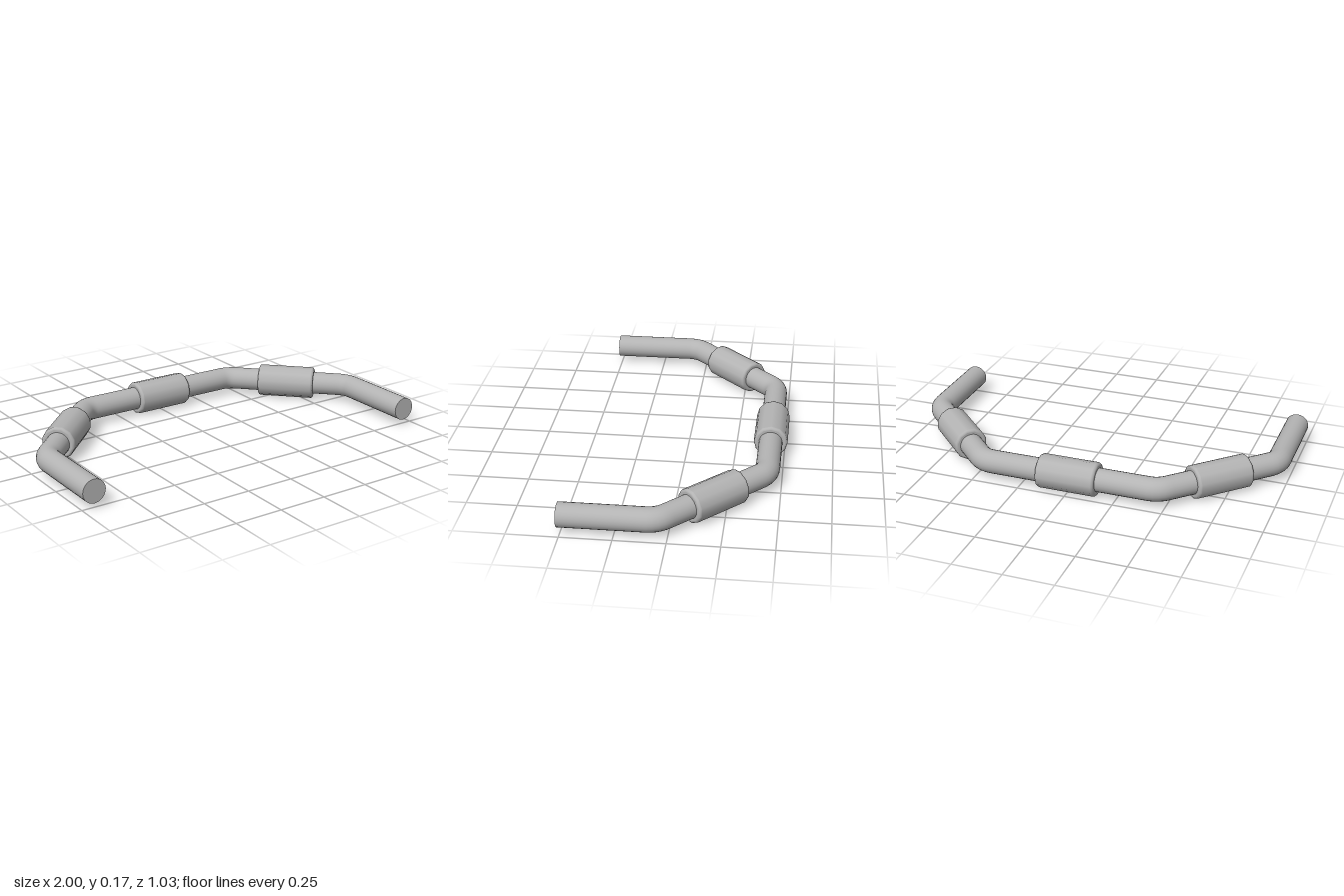
import * as THREE from 'three';

const Y = 0.086;        // height of the bar's centreline
const BAR_R = 0.06;
const SLEEVE_R = 0.086;
const SLEEVE_HALF = 0.153;

export function createModel() {
  const group = new THREE.Group();
  const gray = new THREE.MeshStandardMaterial({ color: 0xb4b4b4 });
  gray.name = 'plain gray';

  const add = (name, geometry) => {
    const mesh = new THREE.Mesh(geometry, gray);
    mesh.name = name;
    group.add(mesh);
    return mesh;
  };

  // Bent bar: straight runs joined by short rounded bends
  const corners = [[-0.94, 0.513], [-0.94, 0.05], [-0.46, -0.43], [0.46, -0.43], [0.94, 0.05], [0.94, 0.513]]
    .map(([x, z]) => new THREE.Vector3(x, Y, z));
  const path = new THREE.CurvePath();
  const bend = 0.05;
  let from = corners[0];
  for (let i = 1; i < corners.length - 1; i++) {
    const c = corners[i];
    const toward = (p) => c.clone().add(p.clone().sub(c).setLength(bend));
    const a = toward(corners[i - 1]), b = toward(corners[i + 1]);
    path.add(new THREE.LineCurve3(from, a));
    path.add(new THREE.QuadraticBezierCurve3(a, c, b));
    from = b;
  }
  path.add(new THREE.LineCurve3(from, corners[5]));
  add('bentBar', new THREE.TubeGeometry(path, 160, BAR_R, 24, false));

  // Flat caps on the two open ends
  for (const [name, end] of [['rightEndCap', corners[0]], ['leftEndCap', corners[5]]]) {
    add(name, new THREE.CircleGeometry(BAR_R, 24)).position.copy(end);
  }

  // Thick sleeves with softly bevelled rims, one per inner run
  const h = SLEEVE_HALF, r = SLEEVE_R;
  const half = [[r, h - 0.013], [r, h - 0.011], [r - 0.003, h - 0.003], [r - 0.011, h], [r - 0.013, h], [BAR_R - 0.005, h]];
  const profile = [...half.map(([x, y]) => [x, -y]).reverse(), ...half]
    .map(([x, y]) => new THREE.Vector2(x, y));
  const sleeve = new THREE.LatheGeometry(profile, 12);
  const up = new THREE.Vector3(0, 1, 0);
  ['rightSleeve', 'middleSleeve', 'leftSleeve'].forEach((name, i) => {
    const a = corners[i + 1], b = corners[i + 2];
    const mesh = add(name, sleeve);
    mesh.position.copy(a).lerp(b, 0.5);
    mesh.quaternion.setFromUnitVectors(up, b.clone().sub(a).normalize());
  });

  return group;
}
